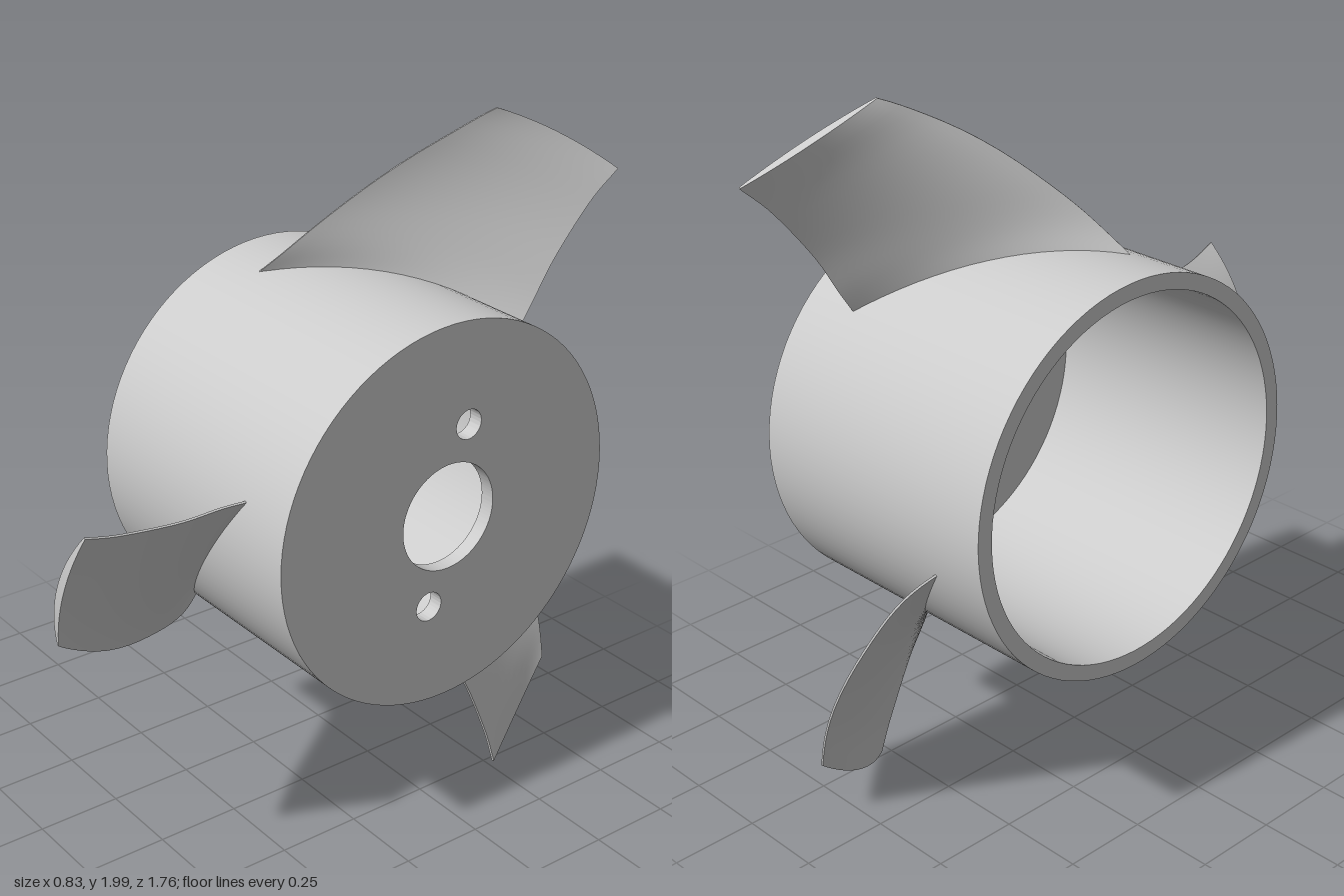
import * as THREE from 'three';
import { toCreasedNormals } from 'three/addons/utils/BufferGeometryUtils.js';

const R = 0.558, R_IN = 0.513, HALF = 0.415, CAP = 0.045;

// Everything is built around local z, then turned so the axis lies along x.
function circle(r, x = 0, y = 0, Type = THREE.Path) {
  const p = new Type();
  p.absarc(x, y, r, 0, Math.PI * 2, false);
  return p;
}

// Surface of revolution between two [radius, axial] points
function band(a, b) {
  const g = new THREE.LatheGeometry([new THREE.Vector2(...a), new THREE.Vector2(...b)], 96);
  return g.rotateX(Math.PI / 2);
}

// Curved, twisted blade lofted from thin lens sections at growing radius
function bladeGeometry() {
  // radius, leading angle, leading axial, trailing angle, trailing axial
  const stations = [
    [0.54, -17.3, -0.255, 44.8, 0.24],
    [0.628, -9.2, -0.16, 43.3, 0.24],
    [0.755, 1.5, -0.06, 41.2, 0.245],
    [0.936, 13.6, 0.06, 40.6, 0.255],
    [1.06, 21, 0.12, 41.2, 0.27],
  ];
  const rad = THREE.MathUtils.degToRad;
  const edge = (k) => new THREE.CatmullRomCurve3(
    stations.map((s) => new THREE.Vector3(s[0], rad(s[k]), s[k + 1])), false, 'catmullrom', 0.5);
  const lead = edge(1), trail = edge(3);
  const rows = 20, cols = 16, loop = 2 * (cols + 1);
  const pos = [], idx = [];

  for (let j = 0; j <= rows; j++) {
    const v = j / rows, L = lead.getPoint(v), T = trail.getPoint(v), r = L.x;
    const camber = 0.1 * v;
    for (let k = 0; k < loop; k++) {
      const upper = k <= cols;
      const t = (upper ? k : loop - 1 - k) / cols;
      const da = r * (T.y - L.y), dz = T.z - L.z - camber * (1 - 2 * t);
      const half = (upper ? 1 : -1) * (0.003 + 0.012 * 4 * t * (1 - t)) / Math.hypot(da, dz);
      const a = L.y + (T.y - L.y) * t - dz * half / r;
      const z = L.z + (T.z - L.z) * t - camber * t * (1 - t) + da * half;
      pos.push(r * Math.sin(a), r * Math.cos(a), z);
    }
  }
  for (let j = 0; j < rows; j++) {
    for (let k = 0; k < loop; k++) {
      const a = j * loop + k, b = j * loop + (k + 1) % loop;
      idx.push(a, b, b + loop, a, b + loop, a + loop);
    }
  }
  // tip face
  const tip = rows * loop;
  for (let k = 0; k < cols; k++) {
    const u = tip + k, l = tip + loop - 1 - k;
    idx.push(u, u + 1, l - 1, u, l - 1, l);
  }
  const g = new THREE.BufferGeometry();
  g.setAttribute('position', new THREE.Float32BufferAttribute(pos, 3));
  g.setIndex(idx);
  return toCreasedNormals(g, 0.5);
}

export function createModel() {
  const model = new THREE.Group();
  model.name = 'impeller';
  const rotor = new THREE.Group();
  rotor.name = 'rotor';
  const material = new THREE.MeshStandardMaterial({ color: 0xcccccc });
  const add = (geometry, name, parent = rotor) => {
    const mesh = new THREE.Mesh(geometry, material);
    mesh.name = name;
    parent.add(mesh);
    return mesh;
  };

  // Hub shell: inside wall, open rim, outside wall, ring around the end plate
  const hub = new THREE.Group();
  hub.name = 'hub';
  rotor.add(hub);
  const profile = [[R_IN, HALF - CAP], [R_IN, -HALF], [R, -HALF], [R, HALF], [R_IN, HALF]];
  ['hubInside', 'hubRim', 'hubOutside', 'hubFaceRing'].forEach((name, i) =>
    add(band(profile[i], profile[i + 1]), name, hub));

  // End plate with the shaft hole and two bolt holes
  const plate = circle(R_IN, 0, 0, THREE.Shape);
  plate.holes.push(circle(0.157), circle(0.043, 0.06, 0.257), circle(0.043, -0.06, -0.257));
  const plateGeometry = new THREE.ExtrudeGeometry(plate, { depth: CAP, bevelEnabled: false, curveSegments: 96 });
  add(toCreasedNormals(plateGeometry, 0.5), 'endPlate', hub).position.z = HALF - CAP;

  // Three blades
  const blade = bladeGeometry();
  for (let i = 0; i < 3; i++) add(blade, 'blade' + (i + 1)).rotation.z = -i * Math.PI * 2 / 3;

  rotor.rotation.y = Math.PI / 2;
  rotor.position.set(0, 1.01, -0.18);
  model.add(rotor);
  return model;
}
